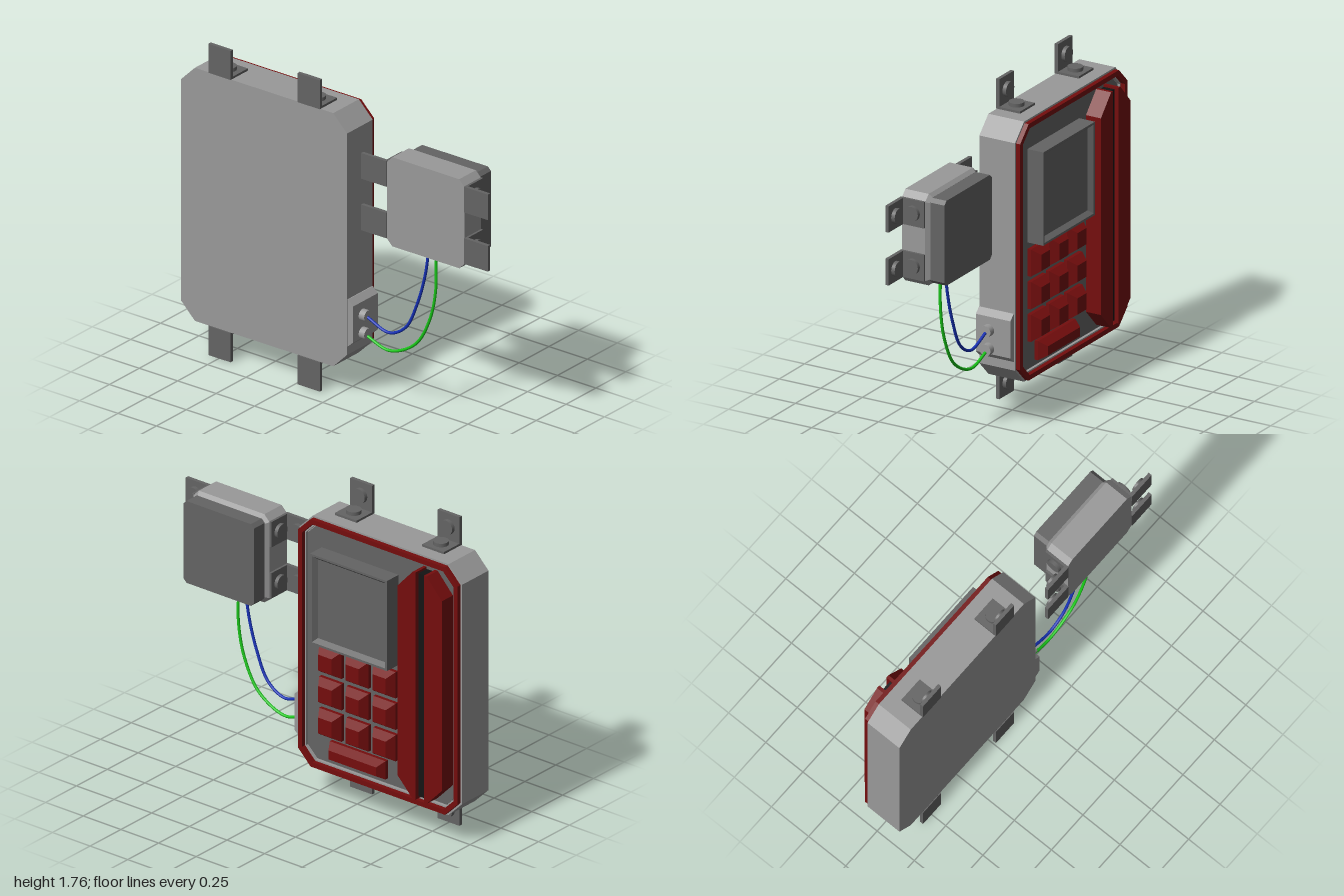
import * as THREE from 'three';

const mat = (name, color) => {
  const m = new THREE.MeshStandardMaterial({ color });
  m.name = name;
  return m;
};

// Chamfered rectangle swept through [inset, z] steps, with hard edges
function loft(w, h, chamfer, steps, capped = true) {
  const rings = steps.map(([inset, z]) => {
    const a = w / 2 - inset, b = h / 2 - inset;
    const c = Math.max(chamfer - inset * 0.586, 0);
    const pts = chamfer > 0
      ? [[a, -b + c], [a, b - c], [a - c, b], [-a + c, b], [-a, b - c], [-a, -b + c], [-a + c, -b], [a - c, -b]]
      : [[a, -b], [a, b], [-a, b], [-a, -b]];
    return pts.map(([x, y]) => [x, y, z]);
  });
  const pos = [], n = rings[0].length;
  const tri = (...p) => p.forEach(v => pos.push(...v));
  for (let i = 0; i + 1 < rings.length; i++) {
    for (let j = 0; j < n; j++) {
      const k = (j + 1) % n, r = rings[i], s = rings[i + 1];
      tri(r[j], r[k], s[k]);
      tri(r[j], s[k], s[j]);
    }
  }
  if (capped) {
    const first = rings[0], last = rings[rings.length - 1];
    for (let j = 1; j + 1 < n; j++) {
      tri(first[0], first[j + 1], first[j]);
      tri(last[0], last[j], last[j + 1]);
    }
  }
  const g = new THREE.BufferGeometry();
  g.setAttribute('position', new THREE.Float32BufferAttribute(pos, 3));
  g.computeVertexNormals();
  return g;
}

// Polygon pushed out from z0 to z1
function prism(points, z0, z1) {
  const shape = new THREE.Shape(points.map(([x, y]) => new THREE.Vector2(x, y)));
  return new THREE.ExtrudeGeometry(shape, { depth: z1 - z0, bevelEnabled: false }).translate(0, 0, z0);
}

export function createModel() {
  const casing = mat('casingGrey', 0x999999);
  const dark = mat('darkGrey', 0x646464);
  const red = mat('deepRed', 0x740d0d);
  const black = mat('slotBlack', 0x141414);
  const green = mat('wireGreen', 0x18c418);
  const blue = mat('wireBlue', 0x1530b4);

  const model = new THREE.Group();
  model.name = 'keypadLock';
  // Built facing +z, then turned to face +x
  const unit = new THREE.Group();
  unit.name = 'unit';
  unit.rotation.y = Math.PI / 2;
  model.add(unit);

  const add = (name, geometry, material, x = 0, y = 0, z = 0, parent = unit) => {
    const m = new THREE.Mesh(geometry, material);
    m.name = name;
    m.position.set(x, y, z);
    parent.add(m);
    return m;
  };

  // Main casing, red trim and recessed panel
  const cx = 0.46, cy = 0.883, W = 1.08, H = 1.435;
  add('casing', loft(W, H, 0.09, [[0, -0.15], [0, 0.065], [0.045, 0.065], [0.045, 0.05]]), casing, cx, cy);
  add('trim', loft(W, H, 0.09, [[0.01, 0.06], [0.01, 0.09], [0.037, 0.09], [0.037, 0.05]], false), red, cx, cy);
  add('panel', loft(W, H, 0.09, [[0.05, 0.048], [0.05, 0.055]]), dark, cx, cy);

  // Display with a sunken face
  add('display', loft(0.51, 0.515, 0, [[0, 0.05], [0, 0.15], [0.012, 0.15], [0.032, 0.125]]), dark, 0.315, 1.173);

  // Keys
  const key = loft(0.148, 0.15, 0, [[0, 0.05], [0, 0.075], [0.03, 0.12]]);
  for (const y of [0.805, 0.625, 0.445]) {
    for (const x of [0.133, 0.314, 0.493]) add('key', key, red, x, y);
  }
  add('wideKey', loft(0.37, 0.105, 0, [[0, 0.05], [0, 0.075], [0.027, 0.12]]), red, 0.315, 0.298);

  // Card slot between two rails
  for (const s of [-1, 1]) {
    const rail = [[0.028, 0.235], [0.046, 0.235], [0.147, 0.34], [0.147, 1.425], [0.046, 1.535], [0.028, 1.535]];
    add('slotRail', prism(rail.map(([x, y]) => [0.784 + s * x, y]), 0.05, 0.145), red);
  }
  add('cardSlot', new THREE.BoxGeometry(0.058, 1.275, 0.07), black, 0.784, 0.885, 0.085);

  // Wire socket block on the casing's side
  add('socketBlock', prism([[-0.07, 0.305], [-0.085, 0.305], [-0.118, 0.335], [-0.118, 0.54], [-0.085, 0.57], [-0.07, 0.57]], -0.148, 0.06), casing);
  const socket = new THREE.CylinderGeometry(0.032, 0.032, 0.04, 20).rotateZ(Math.PI / 2);
  for (const y of [0.467, 0.365]) add('wireSocket', socket, casing, -0.134, y, -0.07);

  // Junction box with its cover
  add('junctionBox', loft(0.505, 0.505, 0.035, [[0, -0.15], [0, -0.01], [0.018, 0.01]]), casing, -0.592, 1.208);
  add('junctionCover', loft(0.468, 0.468, 0.02, [[0, 0], [0, 0.095]]), dark, -0.592, 1.208);

  // Wires
  const wire = (name, points, material) => {
    const curve = new THREE.CatmullRomCurve3(points.map(([x, y]) => new THREE.Vector3(x, y, -0.07)));
    add(name, new THREE.TubeGeometry(curve, 48, 0.008, 10), material);
  };
  wire('blueWire', [[-0.552, 0.97], [-0.525, 0.8], [-0.475, 0.63], [-0.4, 0.475], [-0.29, 0.413], [-0.145, 0.463]], blue);
  wire('greenWire', [[-0.594, 0.97], [-0.595, 0.745], [-0.555, 0.56], [-0.46, 0.395], [-0.29, 0.312], [-0.145, 0.355]], green);

  // Angle brackets with a bolt in each leg
  const tab = new THREE.BoxGeometry(0.145, 0.165, 0.02);
  const foot = new THREE.BoxGeometry(0.145, 0.014, 0.14);
  const bolt = new THREE.CylinderGeometry(0.041, 0.041, 0.022, 20);
  const bracket = (x, y, turn, length = 1) => {
    const g = new THREE.Group();
    g.name = 'bracket';
    g.position.set(x, y, 0);
    g.rotation.z = turn;
    add('bracketTab', tab, dark, 0, 0.0825 * length, -0.145, g).scale.y = length;
    add('bracketFoot', foot, dark, 0, 0.006, -0.08, g);
    add('footBolt', bolt, dark, 0, 0.022, -0.075, g);
    add('tabBolt', bolt, dark, 0, 0.09, -0.125, g).rotation.x = Math.PI / 2;
    unit.add(g);
  };
  for (const x of [0.166, 0.746]) {
    bracket(x, 1.6, 0);
    bracket(x, 0.165, Math.PI);
  }
  for (const y of [1.357, 1.065]) {
    bracket(-0.844, y, Math.PI / 2, 0.945);
    bracket(-0.34, y, -Math.PI / 2);
  }
  return model;
}
